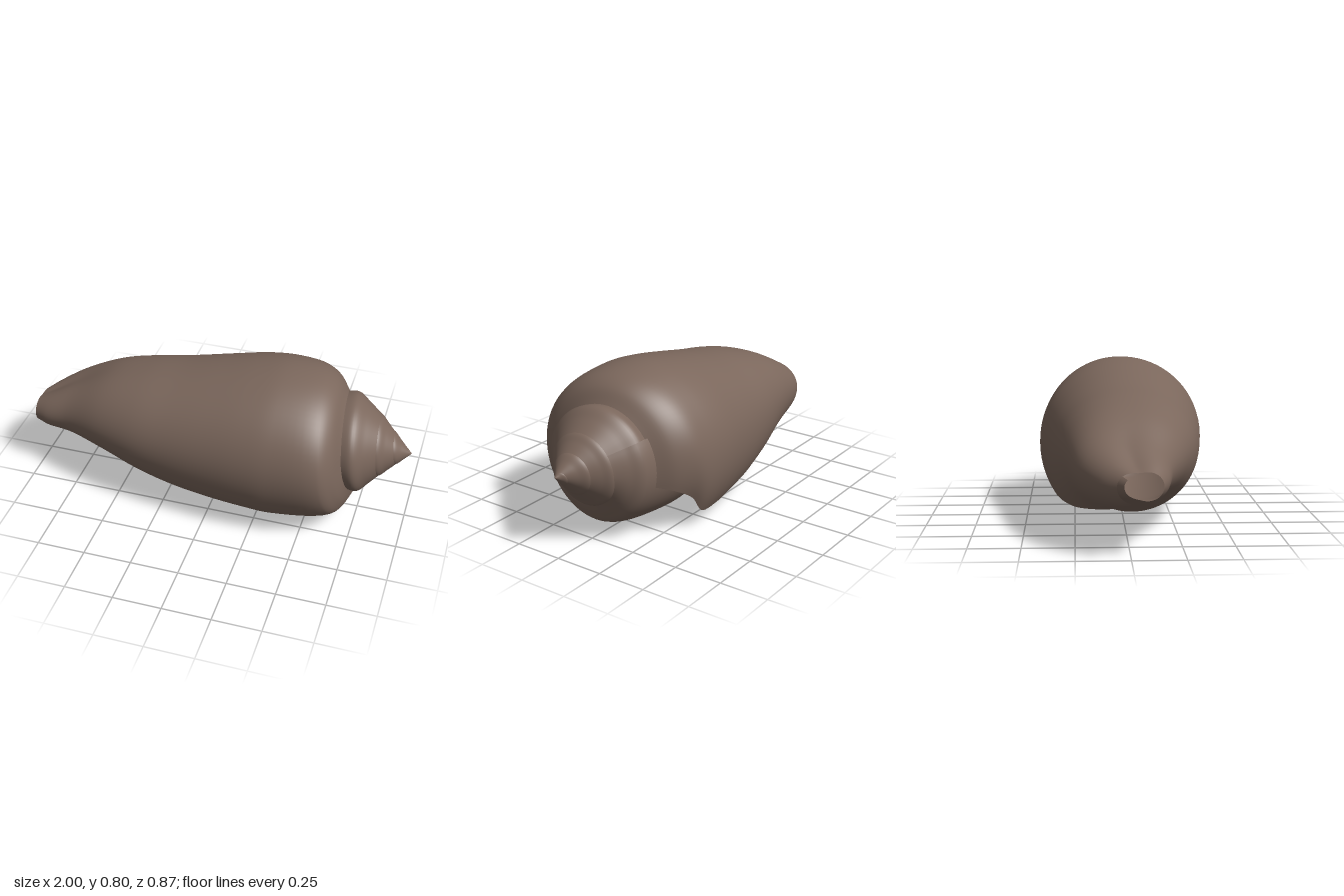
import * as THREE from 'three';

// Body stations: x, centre y, centre z, lip shift (turns), radii at back, top, front, bottom
const STATIONS = [
  [-1.0, 0.33, 0.035, -0.09, 0.10, 0.06, 0.11, 0.06],
  [-0.93, 0.34, 0.015, -0.09, 0.16, 0.08, 0.16, 0.085],
  [-0.8, 0.365, -0.01, -0.08, 0.225, 0.125, 0.215, 0.13],
  [-0.6, 0.39, 0, -0.05, 0.293, 0.21, 0.285, 0.20],
  [-0.4, 0.40, 0, -0.02, 0.333, 0.26, 0.345, 0.29],
  [-0.2, 0.40, 0, -0.005, 0.365, 0.30, 0.38, 0.35],
  [0.0, 0.40, 0, 0, 0.40, 0.345, 0.407, 0.38],
  [0.2, 0.40, 0, 0, 0.432, 0.385, 0.427, 0.395],
  [0.35, 0.40, 0, 0.01, 0.432, 0.40, 0.43, 0.40],
];
// Shrinking of the whorl inside the mouth, per quarter turn
const INNER = [0.67, 0.66, 0.6, 0.55];
// Shoulder ridge per quarter turn, from the lip inwards
const RIDGE_R = [0.45, 0.415, 0.375, 0.40, 0.34, 0.283, 0.262, 0.25, 0.22];
const RIDGE_X = [0.40, 0.455, 0.52, 0.60, 0.685, 0.675, 0.70, 0.74, 0.775];
const LAST = 19;              // quarter turns until the apex
const TURNS = (LAST - 0.52) / 4;
const MOUTH_END = 1.2;        // turn where the inside of the mouth ends

const ridgeR = (i) => (i < 9 ? RIDGE_R[Math.max(i, 0)] : 0.187 * Math.max(0, 1 - (i - 9) / 10));
const ridgeX = (i) => (i < 9 ? RIDGE_X[Math.max(i, 0)] : 1 - 1.05 * ridgeR(i));

// Smooth interpolation of a quarter-turn series
function smooth(get, q) {
  const i = Math.floor(q), f = q - i;
  const [a, b, c, d] = [get(i - 1), get(i), get(i + 1), get(i + 2)];
  return b + 0.5 * f * (c - a + f * (2 * a - 5 * b + 4 * c - d + f * (3 * (b - c) + d - a)));
}

function bodyRadius(station, i) {
  if (i <= 0) return station[7] * 1.35;
  const k = (i - 1) % 4, whorl = Math.floor((i - 1) / 4);
  return station[4 + k] * Math.pow(INNER[k], whorl);
}

// Point at turn a from the lip, going from the back over the top to the front
function place(a, x, r, cy, cz) {
  const phi = (a - 0.12) * Math.PI * 2;
  return new THREE.Vector3(x, cy + r * Math.sin(phi), cz - r * Math.cos(phi));
}

const placeUpper = (a, x, r) => place(a, x, r, 0.40 + 0.01 * Math.max(0, (x - 0.35) / 0.65), 0);

// Points below the shoulder: the full body
function bodyPoints(t, fade) {
  return STATIONS.map((s) => {
    const a = t + s[3] * fade;
    return place(a, s[0], smooth((i) => bodyRadius(s, i), (a + 0.13) * 4), s[1], s[2]);
  });
}

// Points below the shoulder: a short skirt tucked under the previous whorl
function skirtPoints(t) {
  const q = (t + 0.13) * 4, r = smooth(ridgeR, q);
  return [placeUpper(t, smooth(ridgeX, q) - 0.25 * r, r * 0.98)];
}

// Growth line of the shell at turn t, up to the suture
function growthLine(t, lowerPoints) {
  const fade = Math.max(0, 1 - t / 0.4);
  const points = lowerPoints(t, fade);
  // Shoulder ridge, slope and suture; the step at the suture fades towards the spire
  [0.04, 0.06, 0.06].forEach((lip, k) => {
    const a = t + lip * fade, q = (a + 0.13) * 4;
    const step = THREE.MathUtils.clamp((4.9 - q) / 2, 0, 1);
    const r1 = smooth(ridgeR, q), x1 = smooth(ridgeX, q);
    const r3 = Math.max(0, smooth(ridgeR, q + 4) - 0.005 * step);
    const x3 = smooth(ridgeX, q + 4) - 0.05 * step;
    const x = [x1, (x1 + x3) / 2 + 0.012 * step, x3][k];
    const r = [r1, (r1 + r3) / 2 + 0.012 * step + 0.01 * r1, r3][k];
    points.push(placeUpper(a, x, r));
  });
  return new THREE.CatmullRomCurve3(points);
}

// Sweep the growth line between two turns
function whorls(from, to, lowerPoints, cols) {
  const rows = Math.ceil((to - from) * 72);
  const position = [], index = [];
  for (let i = 0; i <= rows; i++) {
    const line = growthLine(from + ((to - from) * i) / rows, lowerPoints);
    for (let j = 0; j <= cols; j++) position.push(...line.getPoint(j / cols).toArray());
  }
  for (let i = 0; i < rows; i++) {
    for (let j = 0; j < cols; j++) {
      const a = i * (cols + 1) + j, b = a + cols + 1;
      index.push(a, b, a + 1, b, b + 1, a + 1);
    }
  }
  const geometry = new THREE.BufferGeometry();
  geometry.setAttribute('position', new THREE.Float32BufferAttribute(position, 3));
  geometry.setIndex(index);
  geometry.computeVertexNormals();
  return geometry;
}

export function createModel() {
  const shellBrown = new THREE.MeshStandardMaterial({ color: 0x7b675c, side: THREE.DoubleSide });
  shellBrown.name = 'shellBrown';
  const group = new THREE.Group();
  group.name = 'coneShell';

  // Large outer whorl with the open lip, then the coiled spire
  const bodyWhorl = new THREE.Mesh(whorls(0, MOUTH_END, bodyPoints, 66), shellBrown);
  bodyWhorl.name = 'bodyWhorl';
  const spire = new THREE.Mesh(whorls(MOUTH_END, TURNS, skirtPoints, 18), shellBrown);
  spire.name = 'spire';
  group.add(bodyWhorl, spire);
  return group;
}
